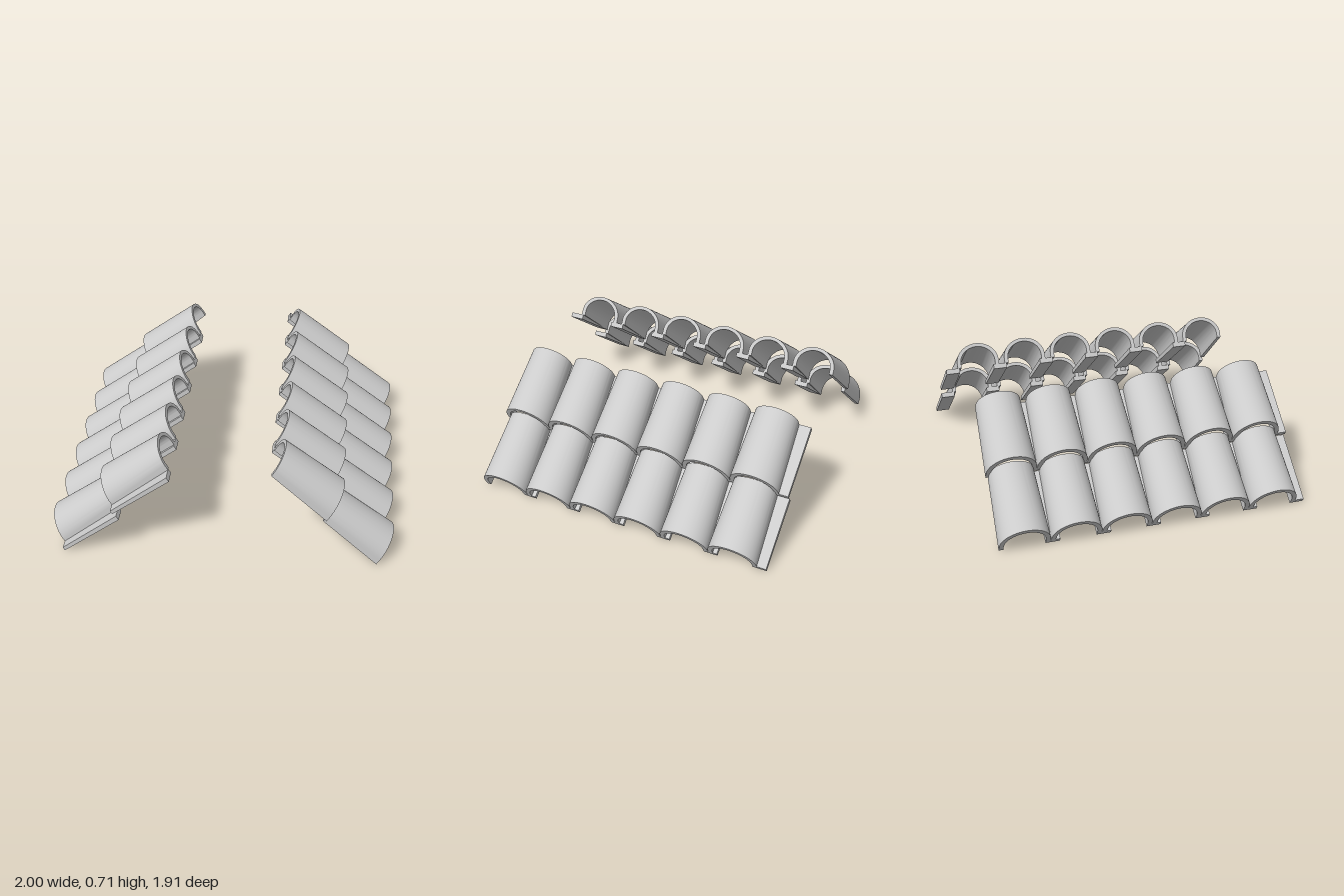
import * as THREE from 'three';
import { toCreasedNormals } from 'three/addons/utils/BufferGeometryUtils.js';

const material = new THREE.MeshStandardMaterial({ color: 0xcccccc, side: THREE.DoubleSide });
const lerp = THREE.MathUtils.lerp;

// Extrudes a cross-section (across, height) up the roof pitch.
// Towards the upper end it scales to `width` and `height` and rises by `lift`.
function alongPitch(shape, width, height, lift) {
  const geo = new THREE.ExtrudeGeometry(shape, { depth: 1, steps: 1, bevelEnabled: false, curveSegments: 20 });
  const p = geo.attributes.position;
  for (let i = 0; i < p.count; i++) {
    const u = p.getX(i), v = p.getY(i), t = p.getZ(i);
    const h = v * lerp(1, height, t) + lift * t;
    p.setXYZ(i, lerp(0.91, 0.575, t) + 0.497 * h, 0.26 * t + 0.866 * h, u * lerp(1, width, t));
  }
  return toCreasedNormals(geo, 0.6);
}

// Tapering half-round barrel on short straight legs
function barrelGeometry() {
  const r = 0.148, wall = 0.027, leg = 0.036;
  const s = new THREE.Shape();
  s.moveTo(r, 0);
  s.lineTo(r, leg);
  s.absarc(0, leg, r, 0, Math.PI, false);
  s.lineTo(-r, 0);
  s.lineTo(-r + wall, 0);
  s.lineTo(-r + wall, leg);
  s.absarc(0, leg, r - wall, Math.PI, 0, true);
  s.lineTo(r - wall, 0);
  s.closePath();
  return alongPitch(s, 0.89, 0.788, 0.03);
}

// Flat lip that tucks under the neighbouring tile
function flangeGeometry() {
  const s = new THREE.Shape();
  s.moveTo(-0.205, 0);
  s.lineTo(-0.121, 0);
  s.lineTo(-0.121, 0.024);
  s.lineTo(-0.205, 0.024);
  s.closePath();
  return alongPitch(s, 1, 1.25, 0);
}

export function createModel() {
  const model = new THREE.Group();
  model.name = 'roofTiles';
  const barrel = barrelGeometry(), flange = flangeGeometry();

  // Two slopes, the second turned half round
  ['leftSlope', 'rightSlope'].forEach((name, side) => {
    const slope = new THREE.Group();
    slope.name = name;
    slope.rotation.y = side * Math.PI;
    for (let row = 0; row < 2; row++) {
      for (let col = 0; col < 6; col++) {
        const tile = new THREE.Group();
        tile.name = `tileRow${row + 1}Column${col + 1}`;
        tile.position.set(-0.3 * row, 0.3 * row, -0.75 + 0.3 * col);
        const barrelMesh = new THREE.Mesh(barrel, material);
        barrelMesh.name = 'barrel';
        const flangeMesh = new THREE.Mesh(flange, material);
        flangeMesh.name = 'flange';
        tile.add(barrelMesh, flangeMesh);
        slope.add(tile);
      }
    }
    model.add(slope);
  });
  return model;
}
